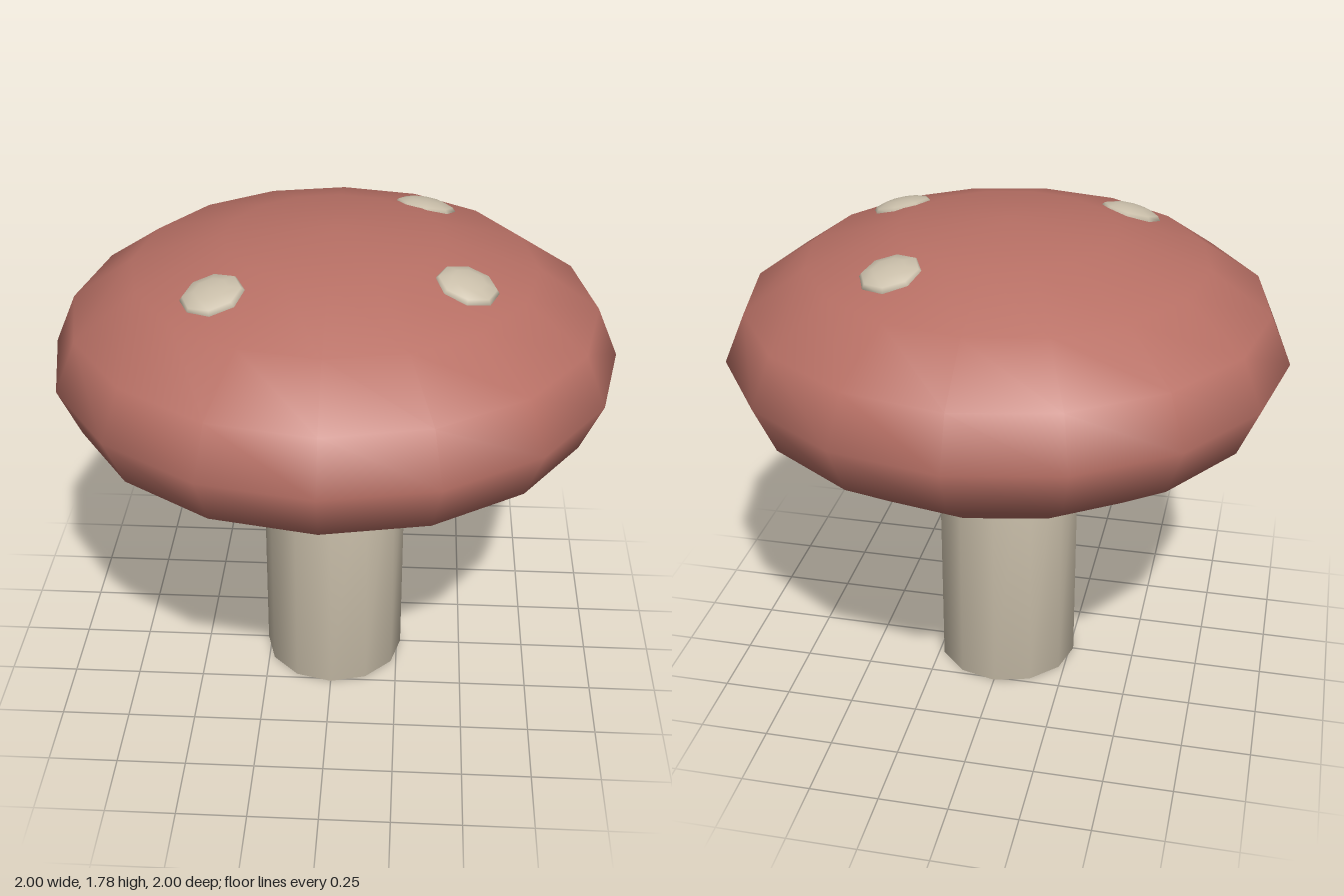
import * as THREE from 'three';
import { mergeVertices } from 'three/addons/utils/BufferGeometryUtils.js';

// Weld a geometry so normals blend over every edge, including the rims.
function smoothed(geometry) {
  geometry.deleteAttribute('uv');
  geometry.deleteAttribute('normal');
  const welded = mergeVertices(geometry, 1e-4);
  welded.computeVertexNormals();
  return welded;
}

export function createModel() {
  const group = new THREE.Group();
  const red = new THREE.MeshStandardMaterial({ color: 0xb87065 });
  const cream = new THREE.MeshStandardMaterial({ color: 0xcbc0ab });

  const add = (name, geometry, material) => {
    const mesh = new THREE.Mesh(geometry, material);
    mesh.name = name;
    group.add(mesh);
    return mesh;
  };

  // Stem: twelve-sided closed column reaching into the cap
  const stemHeight = 1.2;
  add('stem', smoothed(new THREE.CylinderGeometry(0.265, 0.265, stemHeight, 12)), cream)
    .position.y = stemHeight / 2;

  // Cap: flattened low-poly sphere
  const capY = 1.325, capHalf = 0.46;
  const capGeometry = new THREE.SphereGeometry(1, 16, 8).scale(1, capHalf, 1);
  add('cap', smoothed(capGeometry), red).position.y = capY;

  // Spots: small flat pebbles lying along the slope of the cap
  const spotGeometry = smoothed(new THREE.SphereGeometry(0.115, 8, 6).scale(1, 0.3, 1));
  const up = new THREE.Vector3(0, 1, 0);
  for (const [x, z] of [[0.45, 0.265], [-0.375, 0.375], [0.31, -0.39]]) {
    const y = capHalf * Math.sqrt(1 - x * x - z * z);
    const normal = new THREE.Vector3(x, y / capHalf ** 2, z).normalize();
    const spot = add('spot', spotGeometry, cream);
    spot.position.set(x, capY + y - 0.02, z);
    spot.quaternion.setFromUnitVectors(up, normal);
  }

  return group;
}
